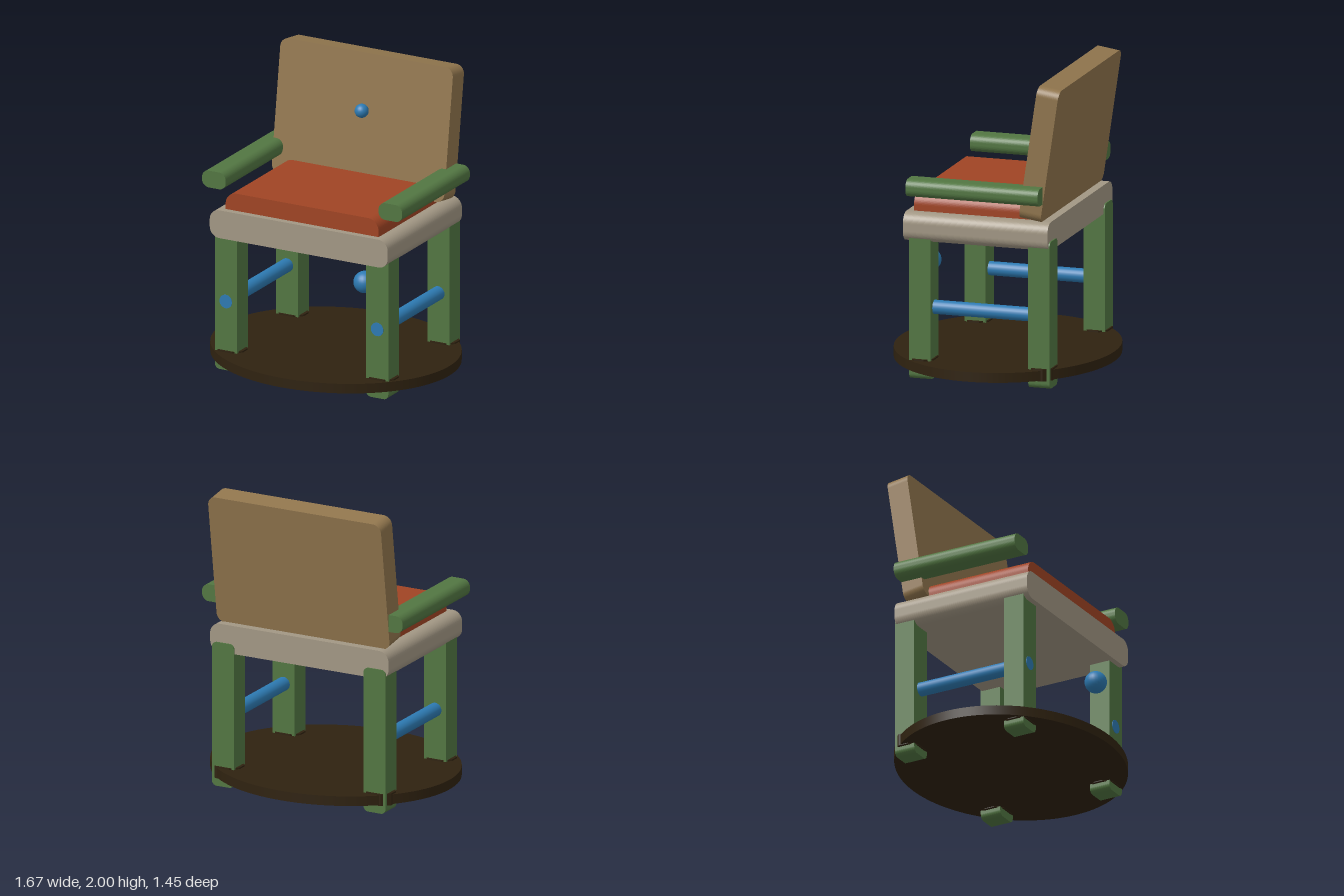
import * as THREE from 'three';

const mat = (name, color) => {
  const m = new THREE.MeshStandardMaterial({ color });
  m.name = name;
  return m;
};

// Box outline with separate corner radii for the bottom and top edges
function roundedOutline(w, h, rBottom, rTop) {
  const x = w / 2, y = h / 2, s = new THREE.Shape();
  const corner = (cx, cy, r, a) => {
    if (r > 0) s.absarc(cx, cy, r, a, a + Math.PI / 2, false);
    else s.lineTo(cx, cy);
  };
  s.moveTo(-x + rBottom, -y);
  corner(x - rBottom, -y + rBottom, rBottom, -Math.PI / 2);
  corner(x - rTop, y - rTop, rTop, 0);
  corner(-x + rTop, y - rTop, rTop, Math.PI / 2);
  corner(-x + rBottom, -y + rBottom, rBottom, Math.PI);
  return s;
}

// Slab with rounded side edges, extruded along z and centred on the origin
function slab(w, h, d, rBottom, rTop = rBottom) {
  const g = new THREE.ExtrudeGeometry(roundedOutline(w, h, rBottom, rTop),
    { depth: d, bevelEnabled: false, curveSegments: 8 });
  return g.translate(0, 0, -d / 2);
}

export function createModel() {
  const chair = new THREE.Group();
  chair.name = 'armchair';

  const wood = mat('tan wood', 0x90754d);
  const green = mat('green paint', 0x527642);
  const red = mat('rust cushion', 0xa04424);
  const stone = mat('warm grey', 0xa29784);
  const blue = mat('blue paint', 0x2d7ab2);
  const dark = mat('dark brown', 0x2f2210);

  const add = (name, geometry, material, x, y, z) => {
    const mesh = new THREE.Mesh(geometry, material);
    mesh.name = name;
    mesh.position.set(x, y, z);
    chair.add(mesh);
    return mesh;
  };

  // Oval base plate
  add('base', new THREE.CylinderGeometry(0.837, 0.837, 0.065, 96), dark, 0, 0.0925, 0)
    .scale.z = 0.726 / 0.837;

  // Seat and cushion
  add('seat', slab(1.315, 0.19, 0.985, 0.07), stone, 0, 1.005, 0.0025);
  add('cushion', slab(1.13, 0.125, 0.81, 0, 0.08), red, 0, 1.155, 0.045);

  // Leaning backrest with a button
  add('backrest', slab(1.275, 0.893, 0.149, 0.06), wood, 0, 1.547, -0.423)
    .rotation.x = -0.145;
  add('backButton', new THREE.SphereGeometry(0.046, 24, 16), blue, 0, 1.625, -0.341);

  // Chamfered collar where a leg passes through the base
  const cx = 0.102, cz = 0.083, cut = 0.05;
  const collarShape = new THREE.Shape([
    [cx, -cz + cut], [cx, cz - cut], [cx - cut, cz], [-cx + cut, cz],
    [-cx, cz - cut], [-cx, -cz + cut], [-cx + cut, -cz], [cx - cut, -cz],
  ].map(([x, y]) => new THREE.Vector2(x, y)));
  const collar = new THREE.ExtrudeGeometry(collarShape, { depth: 0.08, bevelEnabled: false });
  collar.rotateX(-Math.PI / 2);

  const leg = slab(0.163, 0.975, 0.145, 0.035);
  const arm = slab(0.175, 0.115, 0.9, 0.05);
  const rod = new THREE.CylinderGeometry(0.046, 0.046, 0.85, 24).rotateX(Math.PI / 2);

  for (const [side, s] of [['left', 1], ['right', -1]]) {
    for (const [end, z] of [['Front', 0.385], ['Rear', -0.426]]) {
      add(side + end + 'Leg', leg, green, s * 0.559, 0.4875, z);
      add(side + end + 'Collar', collar, dark, s * 0.559, 0.055, z);
    }
    add(side + 'Armrest', arm, green, s * 0.652, 1.283, 0);
    // Side rail, its end just showing on the front of the leg
    add(side + 'Rail', rod, blue, s * 0.559, 0.47, 0.035);
  }

  // Round knob on the inner face of the left front leg
  add('legKnob', new THREE.SphereGeometry(0.073, 24, 16), blue, 0.426, 0.75, 0.386);

  return chair;
}
